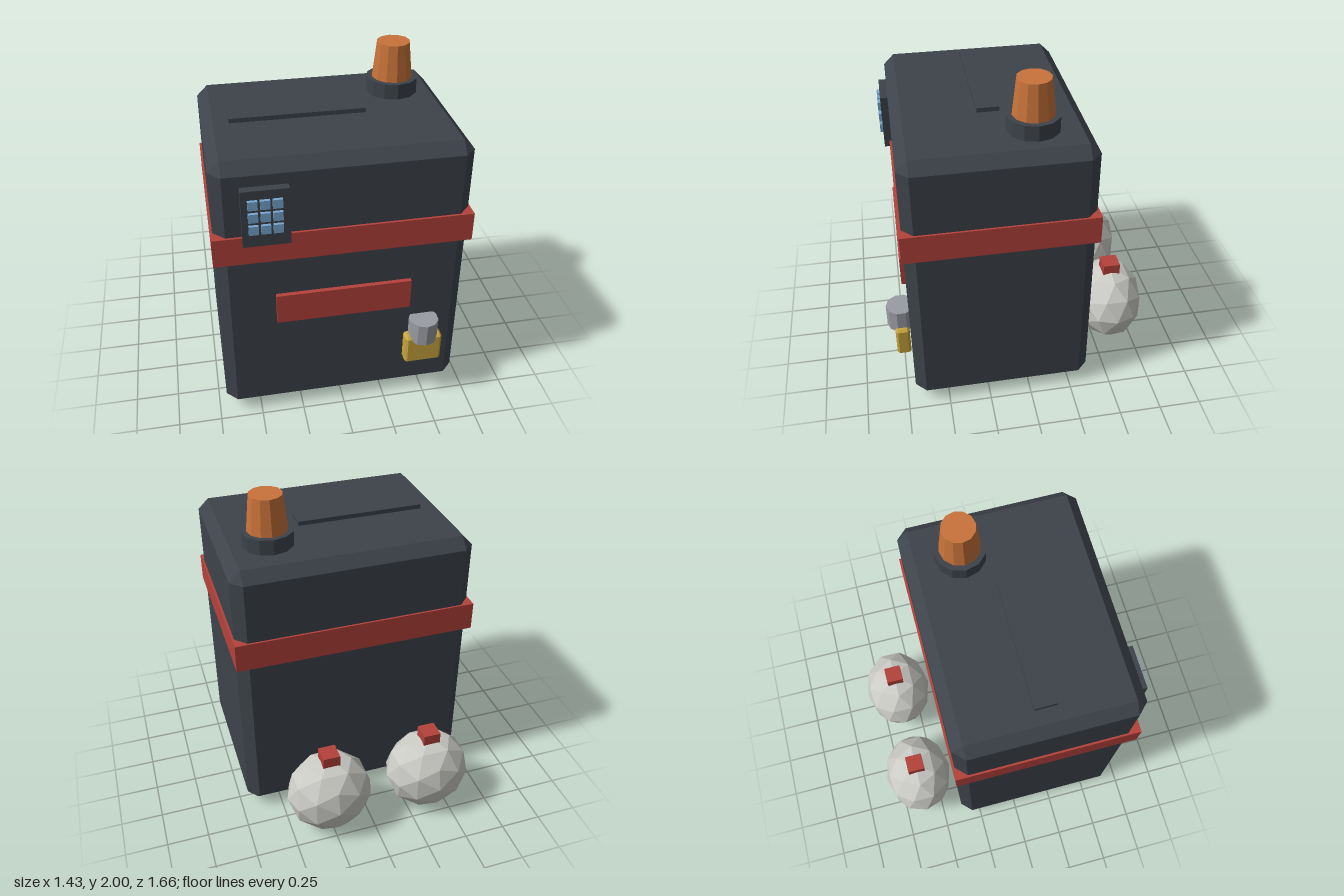
import * as THREE from 'three';
import { ConvexGeometry } from 'three/addons/geometries/ConvexGeometry.js';

const paint = (name, color) => {
  const m = new THREE.MeshStandardMaterial({ color });
  m.name = name;
  m.flatShading = true;
  return m;
};

// Box given by its limits on each axis
function boxBetween([x0, x1], [y0, y1], [z0, z1]) {
  return new THREE.BoxGeometry(x1 - x0, y1 - y0, z1 - z0)
    .translate((x0 + x1) / 2, (y0 + y1) / 2, (z0 + z1) / 2);
}

// Box with every edge cut at 45 degrees
function chamferBox([x0, x1], [y0, y1], [z0, z1], cut) {
  const half = [(x1 - x0) / 2, (y1 - y0) / 2, (z1 - z0) / 2];
  const points = [];
  for (const sx of [-1, 1]) for (const sy of [-1, 1]) for (const sz of [-1, 1]) {
    for (let axis = 0; axis < 3; axis++) {
      const p = half.map((h, i) => (i === axis ? h : h - cut));
      points.push(new THREE.Vector3(p[0] * sx, p[1] * sy, p[2] * sz));
    }
  }
  return new ConvexGeometry(points).translate((x0 + x1) / 2, (y0 + y1) / 2, (z0 + z1) / 2);
}

export function createModel() {
  const group = new THREE.Group();
  const dark = paint('dark slate', 0x3d434a);
  const red = paint('red', 0xb5423b);
  const orange = paint('orange', 0xc9733a);
  const blue = paint('light blue', 0x78a8d3);
  const yellow = paint('brass yellow', 0xc9a63e);
  const steel = paint('steel grey', 0x9a9ca3);
  const stone = paint('pale grey', 0xcbcbc6);

  const add = (name, geometry, material, parent = group) => {
    const mesh = new THREE.Mesh(geometry, material);
    mesh.name = name;
    parent.add(mesh);
    return mesh;
  };

  // Body and the band around it
  add('body', chamferBox([-0.705, 0.705], [0.03, 1.7], [-0.37, 0.7], 0.063), dark);
  add('band', boxBetween([-0.717, 0.717], [1.105, 1.275], [-0.382, 0.714]), red);
  add('frontPlate', boxBetween([-0.388, 0.383], [0.68, 0.868], [0.69, 0.726]), red);
  add('topSlot', boxBetween([-0.555, 0.21], [1.69, 1.726], [0.098, 0.226]), dark);

  // Keypad with a grid of buttons
  const keypad = new THREE.Group();
  keypad.name = 'keypad';
  group.add(keypad);
  add('keypadPanel', boxBetween([-0.555, -0.3], [1.235, 1.573], [0.69, 0.745]), dark, keypad);
  for (let row = 0; row < 3; row++) {
    for (let col = 0; col < 3; col++) {
      const x = -0.495 + col * 0.065, y = 1.345 + row * 0.075;
      add('button', boxBetween([x - 0.026, x + 0.026], [y - 0.026, y + 0.026], [0.74, 0.763]), blue, keypad);
    }
  }

  // Padlock
  add('lockBody', chamferBox([0.358, 0.577], [0.293, 0.485], [0.705, 0.788], 0.014), yellow);
  add('lockShackle', new THREE.CylinderGeometry(0.086, 0.086, 0.14, 10), steel)
    .position.set(0.467, 0.528, 0.745);

  // Warning lamp on top
  add('lampBase', new THREE.CylinderGeometry(0.15, 0.15, 0.1, 12), dark).position.set(0.427, 1.74, -0.05);
  add('lamp', new THREE.CylinderGeometry(0.096, 0.119, 0.21, 12), orange).position.set(0.427, 1.895, -0.05);

  // Two faceted sacks behind, each with a red tie
  for (const x of [-0.386, 0.253]) {
    const sack = new THREE.Group();
    sack.name = 'sack';
    sack.position.set(x, 0, -0.606);
    group.add(sack);
    add('sackBody', new THREE.IcosahedronGeometry(1, 1).scale(0.264, 0.26, 0.22).translate(0, 0.262, 0), stone, sack);
    add('sackTie', boxBetween([-0.052, 0.052], [0.465, 0.566], [-0.053, 0.053]), red, sack);
  }
  return group;
}
